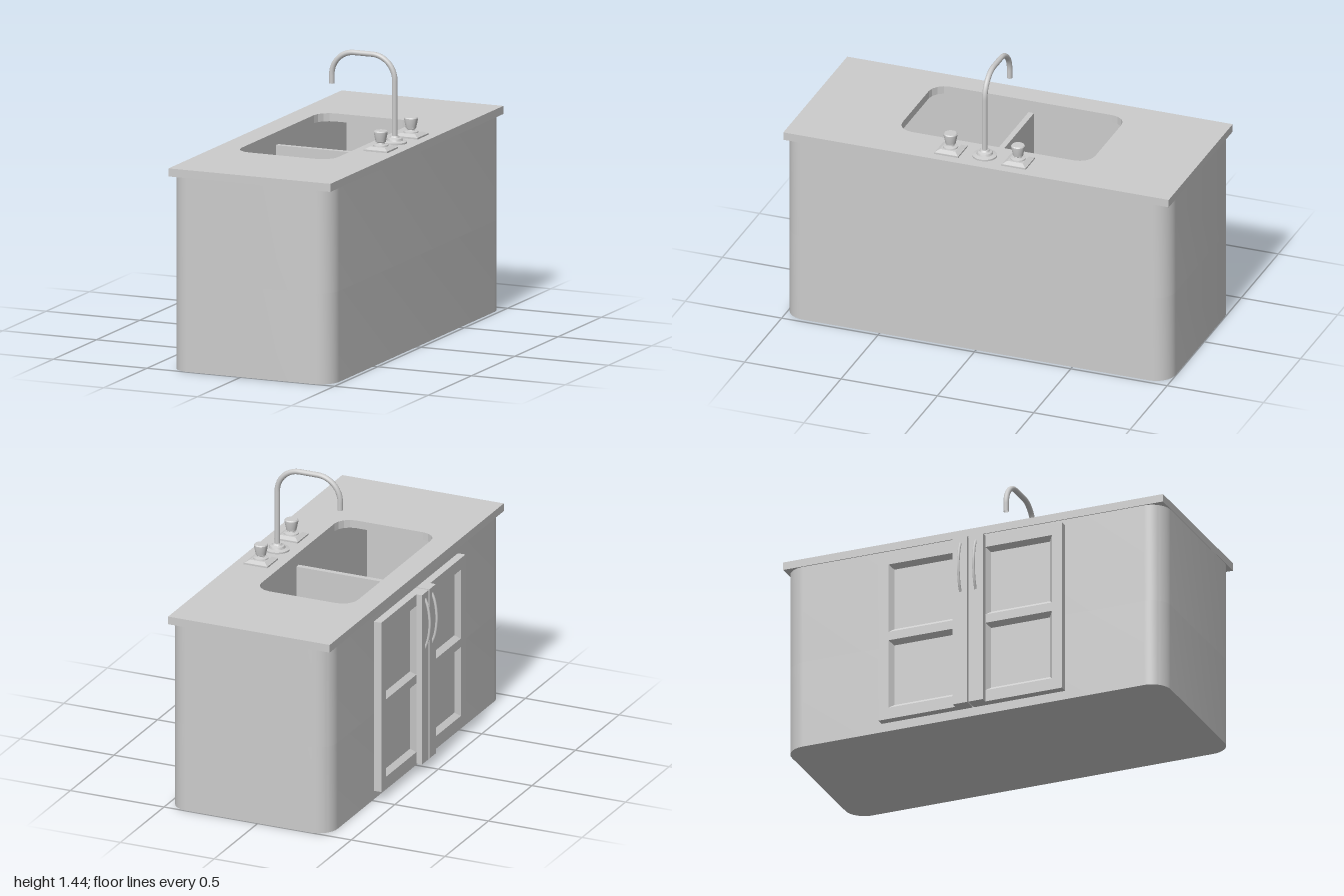
import * as THREE from 'three';
import { toCreasedNormals } from 'three/addons/utils/BufferGeometryUtils.js';

const grey = new THREE.MeshStandardMaterial({ color: 0xcccccc });
const greyTwoSided = new THREE.MeshStandardMaterial({ color: 0xcccccc, side: THREE.DoubleSide });

function add(parent, name, geometry, x = 0, y = 0, z = 0, material = grey) {
  const mesh = new THREE.Mesh(geometry, material);
  mesh.name = name;
  mesh.position.set(x, y, z);
  parent.add(mesh);
  return mesh;
}

// Box given by its limits on each axis
function slab(parent, name, x0, x1, y0, y1, z0, z1) {
  return add(parent, name, new THREE.BoxGeometry(x1 - x0, y1 - y0, z1 - z0),
    (x0 + x1) / 2, (y0 + y1) / 2, (z0 + z1) / 2);
}

// Rectangle outline with optional rounded corners
function outline(path, x0, x1, y0, y1, r = 0) {
  if (r === 0) {
    path.moveTo(x0, y0).lineTo(x1, y0).lineTo(x1, y1).lineTo(x0, y1).closePath();
    return path;
  }
  path.absarc(x1 - r, y0 + r, r, -Math.PI / 2, 0);
  path.absarc(x1 - r, y1 - r, r, 0, Math.PI / 2);
  path.absarc(x0 + r, y1 - r, r, Math.PI / 2, Math.PI);
  path.absarc(x0 + r, y0 + r, r, Math.PI, Math.PI * 1.5);
  path.closePath();
  return path;
}

// Extrude a plan shape upward
function raise(shape, height, curveSegments) {
  const geometry = new THREE.ExtrudeGeometry(shape, { depth: height, bevelEnabled: false, curveSegments });
  return geometry.rotateX(-Math.PI / 2);
}

function lathe(points, segments = 24) {
  const geometry = new THREE.LatheGeometry(points.map(([r, y]) => new THREE.Vector2(r, y)), segments);
  return toCreasedNormals(geometry, 0.6);
}

// Four-sided tapered ring or block; sizes are full widths along x and z
function taper(bottom, top, height, open) {
  const geometry = new THREE.CylinderGeometry(top / Math.SQRT2, bottom / Math.SQRT2, height, 4, 1, open);
  return geometry.rotateY(Math.PI / 4).toNonIndexed();
}

function makeCabinet() {
  const cabinet = new THREE.Group();
  cabinet.name = 'cabinet';
  const plan = () => outline(new THREE.Shape(), -0.38, 0.478, -0.998, 0.998, 0.1);

  // Solid lower body, its top being the basin floor
  add(cabinet, 'lowerBody', toCreasedNormals(raise(plan(), 0.45, 8), 0.5));

  // Upper body around the basin
  const ring = plan();
  ring.holes.push(outline(new THREE.Path(), -0.268, 0.252, -0.8, 0.8));
  add(cabinet, 'basinWalls', toCreasedNormals(raise(ring, 0.51, 8), 0.5), 0, 0.45);
  slab(cabinet, 'basinDivider', -0.27, 0.254, 0.45, 0.935, -0.014, 0.014);

  // Countertop with the sink opening
  const top = outline(new THREE.Shape(), -0.385, 0.478, -1, 1);
  top.holes.push(outline(new THREE.Path(), -0.265, 0.25, -0.5, 0.5, 0.08));
  add(cabinet, 'countertop', raise(top, 0.04, 2), 0, 0.96);
  return cabinet;
}

// One door on the -x face, on the side given by the sign of z
function makeDoor(side) {
  const door = new THREE.Group();
  door.name = side > 0 ? 'doorFrontHalf' : 'doorBackHalf';
  const bar = (name, x0, x1, y0, y1, a, b) =>
    slab(door, name, x0, x1, y0, y1, Math.min(a * side, b * side), Math.max(a * side, b * side));

  // Frame
  bar('outerStile', -0.42, -0.37, 0.045, 0.93, 0.43, 0.483);
  bar('centreStile', -0.45, -0.37, 0.045, 0.93, 0.004, 0.08);
  bar('topRail', -0.42, -0.37, 0.87, 0.93, 0.08, 0.43);
  bar('middleRail', -0.42, -0.37, 0.465, 0.51, 0.08, 0.43);
  bar('bottomRail', -0.42, -0.37, 0.045, 0.105, 0.08, 0.43);

  // Recessed panels with sloping edges
  for (const y of [0.285, 0.69]) {
    const slope = taper(0.88, 1, 0.026, true).rotateZ(Math.PI / 2).scale(1, 0.36, 0.35);
    slope.computeVertexNormals();
    add(door, 'panelSlope', slope, -0.407, y, 0.255 * side, greyTwoSided);
    bar('panel', -0.395, -0.37, y - 0.18, y + 0.18, 0.08, 0.43);
  }

  // Bowed pull handle
  const curve = new THREE.CatmullRomCurve3([
    [-0.447, 0.9], [-0.462, 0.86], [-0.473, 0.77], [-0.462, 0.68], [-0.447, 0.64],
  ].map(([x, y]) => new THREE.Vector3(x, y, 0.04 * side)));
  add(door, 'pullHandle', new THREE.TubeGeometry(curve, 16, 0.007, 8, false), 0, 0, 0, greyTwoSided);
  return door;
}

function makeFaucet() {
  const faucet = new THREE.Group();
  faucet.name = 'faucet';
  faucet.position.set(0.36, 1, 0);

  // Stepped round base
  add(faucet, 'faucetBase', lathe([
    [0, 0], [0.06, 0], [0.06, 0.008], [0.04, 0.013], [0.036, 0.024],
    [0.025, 0.028], [0.02, 0.036], [0, 0.036],
  ]));

  // Gooseneck pipe: straight riser, two bends, short drop
  const path = new THREE.CurvePath();
  const v = (x, y) => new THREE.Vector3(x, y, 0);
  const r = 0.12, k = r * 0.4477, topY = 0.428, endX = -0.336;
  path.add(new THREE.LineCurve3(v(0, 0.01), v(0, topY - r)));
  path.add(new THREE.CubicBezierCurve3(v(0, topY - r), v(0, topY - k), v(-k, topY), v(-r, topY)));
  path.add(new THREE.LineCurve3(v(-r, topY), v(endX + r, topY)));
  path.add(new THREE.CubicBezierCurve3(v(endX + r, topY), v(endX + k, topY), v(endX, topY - k), v(endX, topY - r)));
  path.add(new THREE.LineCurve3(v(endX, topY - r), v(endX, 0.265)));
  add(faucet, 'spout', new THREE.TubeGeometry(path, 80, 0.0135, 12, false), 0, 0, 0, greyTwoSided);
  return faucet;
}

function makeTap(side) {
  const tap = new THREE.Group();
  tap.name = side > 0 ? 'tapFront' : 'tapBack';
  tap.position.set(0.366, 1, 0.175 * side);

  // Square plate with a sloping top
  add(tap, 'tapPlate', new THREE.BoxGeometry(0.126, 0.008, 0.126), 0, 0.004);
  const cap = taper(0.12, 0.08, 0.012, false);
  cap.computeVertexNormals();
  add(tap, 'tapPlateSlope', cap, 0, 0.014);

  // Neck and flared knob
  add(tap, 'tapKnob', lathe([
    [0, 0.018], [0.038, 0.018], [0.036, 0.026], [0.02, 0.03], [0.018, 0.036], [0.025, 0.04],
    [0.027, 0.05], [0.034, 0.084], [0.034, 0.09], [0.03, 0.095], [0, 0.095],
  ]));
  return tap;
}

export function createModel() {
  const model = new THREE.Group();
  model.name = 'sinkCabinet';
  model.add(makeCabinet(), makeFaucet());
  for (const side of [-1, 1]) model.add(makeDoor(side), makeTap(side));
  return model;
}
